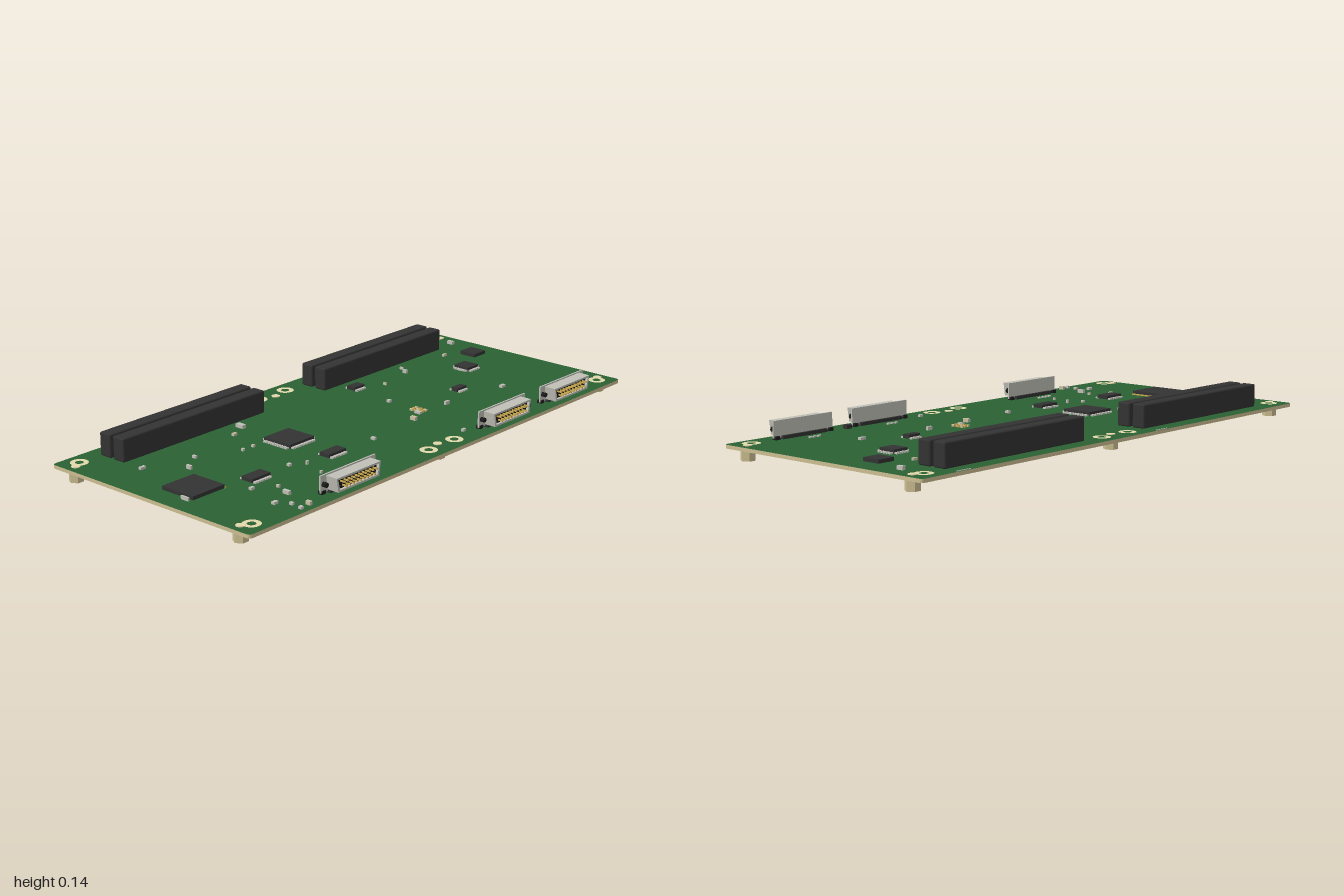
import * as THREE from 'three';
import { RoundedBoxGeometry } from 'three/addons/geometries/RoundedBoxGeometry.js';

const mat = (name, color, side = THREE.FrontSide) => {
  const m = new THREE.MeshStandardMaterial({ color, side });
  m.name = name;
  return m;
};

export function createModel() {
  const green = mat('board green', 0x2a6132);
  const tan = mat('laminate tan', 0xcdbf92);
  const cream = mat('pad cream', 0xe2d9ac);
  const black = mat('plastic black', 0x333333);
  const dark = mat('dark recess', 0x1c1c1c);
  const silver = mat('silver metal', 0xc0c0b8);
  const gold = mat('gold', 0xc9a94e);
  const TOP = 0.05;

  const model = new THREE.Group();
  model.name = 'circuitBoard';

  const add = (name, geo, material, x, y, z, parent = model) => {
    const mesh = new THREE.Mesh(geo, material);
    mesh.name = name;
    mesh.position.set(x, y, z);
    parent.add(mesh);
    return mesh;
  };
  const box = (name, material, w, h, d, x, y, z, parent) =>
    add(name, new THREE.BoxGeometry(w, h, d), material, x, y, z, parent);
  const group = (name, x, y, z) => {
    const g = new THREE.Group();
    g.name = name;
    g.position.set(x, y, z);
    model.add(g);
    return g;
  };

  // Board: green faces, bare laminate edge, small corner radius
  const w = 0.458, l = 1, r = 0.015;
  const outline = new THREE.Shape();
  outline.moveTo(-w + r, -l);
  outline.lineTo(w - r, -l);
  outline.quadraticCurveTo(w, -l, w, -l + r);
  outline.lineTo(w, l - r);
  outline.quadraticCurveTo(w, l, w - r, l);
  outline.lineTo(-w + r, l);
  outline.quadraticCurveTo(-w, l, -w, l - r);
  outline.lineTo(-w, -l + r);
  outline.quadraticCurveTo(-w, -l, -w + r, -l);
  const boardGeo = new THREE.ExtrudeGeometry(outline, { depth: 0.013, bevelEnabled: false, curveSegments: 4 });
  boardGeo.rotateX(-Math.PI / 2);
  add('board', boardGeo, [green, tan], 0, TOP - 0.013, 0);

  // Standoffs below, with their pads above, and the ringed mounting pads
  const hex = new THREE.CylinderGeometry(0.026, 0.026, 0.037, 6).toNonIndexed();
  hex.computeVertexNormals();
  const pad = new THREE.CylinderGeometry(0.016, 0.016, 0.003, 12);
  const ring = new THREE.RingGeometry(0.015, 0.032, 20).rotateX(-Math.PI / 2);
  for (const s of [-1, 1]) {
    for (const z of [-0.963, 0, 0.963]) {
      add('standoff', hex, tan, s * 0.382, 0.0185, z);
      add('standoffPad', pad, cream, s * 0.382, TOP + 0.001, z);
    }
    for (const z of [-0.932, -0.07, 0.07, 0.932])
      add('mountingPad', ring, cream, s * 0.4, TOP + 0.002, z);
  }

  // Long card slots, in pairs
  for (const z of [-0.502, 0.498])
    for (const x of [-0.376, -0.311])
      add('cardSlot', new RoundedBoxGeometry(0.052, 0.085, 0.678, 2, 0.006), black, x, TOP + 0.0425, z);

  // D-shaped sockets on the +x edge: flange, shell, insert, pins and screws
  const dShape = (Path, a, b, h) => {
    const p = new Path();
    p.moveTo(-b, -h);
    p.lineTo(b, -h);
    p.lineTo(a, h);
    p.lineTo(-a, h);
    p.closePath();
    return p;
  };
  const shellShape = dShape(THREE.Shape, 0.108, 0.1, 0.025);
  shellShape.holes.push(dShape(THREE.Path, 0.1, 0.092, 0.018));
  const shellGeo = new THREE.ExtrudeGeometry(shellShape, { depth: 0.046, bevelEnabled: false }).rotateY(Math.PI / 2);
  const insertGeo = new THREE.ExtrudeGeometry(dShape(THREE.Shape, 0.1, 0.092, 0.018), { depth: 0.036, bevelEnabled: false })
    .rotateY(Math.PI / 2);
  const screwGeo = new THREE.CylinderGeometry(0.009, 0.009, 0.016, 8).rotateZ(Math.PI / 2);
  for (const z of [-0.705, -0.342, 0.482]) {
    const c = group('edgeSocket', 0.4, TOP + 0.034, z);
    box('flange', silver, 0.006, 0.06, 0.268, -0.003, 0.001, 0, c);
    add('shell', shellGeo, silver, 0, 0.001, 0, c);
    add('insert', insertGeo, dark, 0, 0.001, 0, c);
    box('foot', black, 0.03, 0.012, 0.2, -0.002, -0.028, 0, c);
    for (const s of [-1, 1]) {
      add('screw', screwGeo, dark, 0.008, 0, s * 0.121, c);
      box('screwPad', dark, 0.018, 0.012, 0.018, -0.006, -0.028, s * 0.122, c);
    }
    for (const [y, n] of [[0.009, 10], [-0.007, 9]])
      for (let i = 0; i < n; i++)
        box('pin', gold, 0.02, 0.005, 0.005, 0.046, y, (i - (n - 1) / 2) * 0.0175, c);
  }

  // Chips: x, z, width, length, sides with leads (0 none, 2 left/right, 4 all)
  const chips = [
    [-0.152, -0.882, 0.07, 0.068, 0], [-0.062, -0.727, 0.066, 0.062, 4],
    [0.08, -0.5, 0.028, 0.054, 2], [-0.218, -0.26, 0.036, 0.056, 2],
    [-0.022, 0.312, 0.122, 0.122, 4], [0.18, 0.312, 0.042, 0.086, 2],
    [0.142, 0.645, 0.048, 0.086, 2], [0.058, 0.848, 0.142, 0.142, 0]
  ];
  for (const [x, z, cw, cl, leads] of chips) {
    const g = group('chip', x, TOP, z);
    box('chipBody', black, cw, 0.013, cl, 0, 0.0085, 0, g);
    const row = (len, place) => {
      const n = Math.max(3, Math.round(len / 0.0085));
      for (let i = 0; i < n; i++) place(((i + 0.5) / n - 0.5) * len * 0.92);
    };
    for (const s of [-1, 1]) {
      if (leads) row(cl, t => box('lead', silver, 0.013, 0.006, 0.006, s * (cw / 2 + 0.005), 0.003, t, g));
      if (leads === 4) row(cw, t => box('lead', silver, 0.006, 0.006, 0.013, t, 0.003, s * (cl / 2 + 0.005), g));
    }
  }
  // Exposed substrate edge behind the large front chip
  box('chipSubstrate', gold, 0.142, 0.004, 0.008, 0.058, TOP + 0.002, 0.774);

  // Small parts: end caps around a coloured body; x, z, width, length
  const smallParts = [
    [-0.302, -0.932, 0.026, 0.014], [-0.22, -0.79, 0.01, 0.018], [0.18, -0.635, 0.014, 0.024],
    [-0.2, -0.525, 0.018, 0.01], [-0.237, -0.55, 0.018, 0.006], [-0.165, -0.365, 0.014, 0.006],
    [0.147, -0.345, 0.01, 0.022], [-0.026, -0.225, 0.014, 0.014], [0.133, -0.198, 0.026, 0.012],
    [0.165, -0.135, 0.024, 0.014], [0.37, -0.16, 0.01, 0.016], [0.19, 0.113, 0.018, 0.012],
    [-0.24, 0.327, 0.034, 0.018], [-0.2, 0.4, 0.012, 0.018], [-0.145, 0.645, 0.016, 0.01],
    [-0.085, 0.728, 0.022, 0.01], [0.2, 0.725, 0.012, 0.016], [0.25, 0.655, 0.012, 0.008],
    [0.31, 0.678, 0.028, 0.012], [0.34, 0.765, 0.014, 0.02], [0.385, 0.735, 0.014, 0.01],
    [0.425, 0.698, 0.02, 0.012], [0.43, 0.74, 0.014, 0.012], [-0.2, 0.832, 0.012, 0.022],
    [0.105, 0.93, 0.034, 0.006], [-0.07, 0.44, 0.01, 0.01], [0.145, 0.49, 0.012, 0.012],
    [0.18, 0.44, 0.008, 0.01], [-0.07, 0.49, 0.01, 0.01], [0.27, 0.47, 0.008, 0.01]
  ];
  smallParts.forEach(([x, z, pw, pl], i) => {
    const g = group('smallPart', x, TOP, z);
    const h = i % 3 ? 0.009 : 0.013, alongX = pw > pl;
    box('partBody', i % 4 === 1 ? tan : silver, alongX ? pw * 0.6 : pw, h, alongX ? pl : pl * 0.6, 0, h / 2, 0, g);
    for (const s of [-1, 1])
      box('partCap', silver, alongX ? pw * 0.2 : pw, h, alongX ? pl : pl * 0.2,
        alongX ? s * pw * 0.4 : 0, h / 2, alongX ? 0 : s * pl * 0.4, g);
  });
  box('switchBlock', black, 0.022, 0.014, 0.024, 0.383, TOP + 0.007, -0.51);

  // Rows of tiny resistors next to the sockets, and a gold cluster mid-board
  for (const [z0, n] of [[-0.73, 6], [-0.36, 6], [0.455, 8]])
    for (let i = 0; i < n; i++)
      box('resistor', silver, 0.009, 0.005, 0.006, 0.335 + (i % 2) * 0.004, TOP + 0.0025, z0 + i * 0.0095);
  for (let i = 0; i < 9; i++)
    box('clusterPart', i % 2 ? gold : tan, 0.014, 0.007, 0.008,
      0.095 + (i % 3) * 0.02, TOP + 0.0035, -0.235 + Math.floor(i / 3) * 0.014);

  // Fine contact strips on the -x edge
  for (const z of [-0.81, 0.195])
    box('edgeStrip', silver, 0.004, 0.002, 0.06, -0.452, TOP + 0.001, z);

  return model;
}
